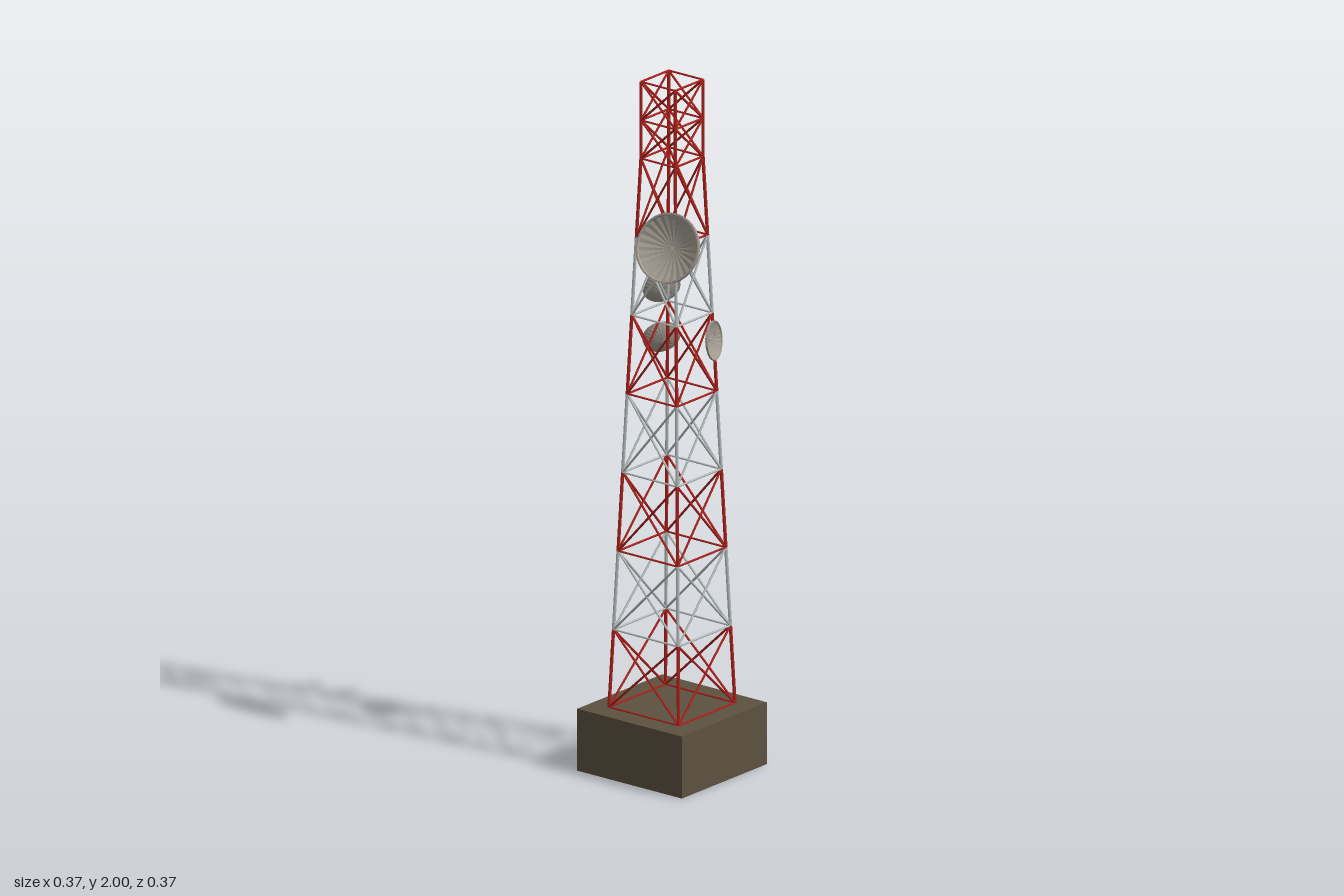
import * as THREE from 'three';

const material = (color, extra = {}) => new THREE.MeshStandardMaterial({ color, ...extra });
const UP = new THREE.Vector3(0, 1, 0);

export function createModel() {
  const tower = new THREE.Group();
  tower.name = 'latticeTower';
  const red = material(0xb0221c), white = material(0xb8c0c0), concrete = material(0x5c5240);
  const dishGrey = material(0xa39c92, { flatShading: true, side: THREE.DoubleSide });

  const add = (parent, name, geometry, mat) => {
    const mesh = new THREE.Mesh(geometry, mat);
    mesh.name = name;
    parent.add(mesh);
    return mesh;
  };

  // Round bar between two points
  const bar = (parent, name, a, b, radius, mat) => {
    const dir = b.clone().sub(a);
    const mesh = add(parent, name, new THREE.CylinderGeometry(radius, radius, dir.length(), 6), mat);
    mesh.position.copy(a).add(b).multiplyScalar(0.5);
    mesh.quaternion.setFromUnitVectors(UP, dir.normalize());
  };

  // Foundation block
  add(tower, 'foundation', new THREE.BoxGeometry(0.37, 0.18, 0.37), concrete).position.y = 0.09;

  // Tapering mast: straight above the seventh bay
  const levels = [0.182, 0.407, 0.635, 0.863, 1.091, 1.319, 1.546, 1.774, 1.885, 1.997];
  const halfWidth = (y) => 0.123 - 0.0625 * Math.min(1, (y - 0.18) / 1.594);
  const corner = (level, i) => {
    const y = levels[level], h = halfWidth(y);
    return new THREE.Vector3([h, h, -h, -h][i % 4], y, [h, -h, -h, h][i % 4]);
  };

  for (let bay = 0; bay < levels.length - 1; bay++) {
    const section = new THREE.Group();
    section.name = `mastSection${bay + 1}`;
    const mat = bay < 6 && bay % 2 ? white : red;
    for (let i = 0; i < 4; i++) {
      bar(section, 'leg', corner(bay, i), corner(bay + 1, i), 0.005, mat);
      bar(section, 'diagonalBrace', corner(bay, i), corner(bay + 1, i + 1), 0.0033, mat);
      bar(section, 'diagonalBrace', corner(bay, i + 1), corner(bay + 1, i), 0.0033, mat);
      bar(section, 'horizontalBrace', corner(bay, i), corner(bay, i + 1), 0.003, mat);
      if (bay === levels.length - 2)
        bar(section, 'topRail', corner(bay + 1, i), corner(bay + 1, i + 1), 0.003, mat);
    }
    tower.add(section);
  }

  // Pleated dish opening along local +y, with a rolled rim and a small feed
  const dish = (name, r, center, facing, leg) => {
    const group = new THREE.Group();
    group.name = name;
    const depth = r * 0.28, t = r * 0.05, steps = 7, profile = [];
    for (let k = 0; k <= steps; k++) {
      const s = k / steps;
      profile.push(new THREE.Vector2(r * 0.96 * s, depth * (s * s - 1) - t));
    }
    profile.push(new THREE.Vector2(r, -t), new THREE.Vector2(r, t), new THREE.Vector2(r * 0.95, t));
    for (let k = steps; k >= 0; k--) {
      const s = k / steps;
      profile.push(new THREE.Vector2(r * 0.93 * s, depth * (s * s - 1)));
    }
    const shell = new THREE.LatheGeometry(profile, 48);
    const pos = shell.attributes.position;
    for (let i = 0; i < pos.count; i++) {
      const s = Math.hypot(pos.getX(i), pos.getZ(i)) / r;
      const column = Math.floor(i / profile.length);
      if (s > 0.1 && s < 0.94 && column % 2) pos.setY(i, pos.getY(i) - r * 0.025 * s);
    }
    add(group, 'reflector', shell, dishGrey);
    add(group, 'feed', new THREE.BoxGeometry(r * 0.1, r * 0.15, r * 0.06), dishGrey).position.y = -depth + r * 0.07;

    const normal = new THREE.Vector3(...facing).normalize();
    group.position.set(...center);
    group.quaternion.setFromUnitVectors(UP, normal);
    tower.add(group);

    // Short stub from the back of the dish to the nearest leg
    const back = group.position.clone().addScaledVector(normal, -depth);
    const h = halfWidth(back.y);
    bar(tower, 'dishMount', back, new THREE.Vector3(leg[0] * h, back.y, leg[1] * h), 0.003, dishGrey);
  };

  dish('largeDish', 0.098, [-0.114, 1.558, 0.078], [-0.92, 0.37, 0.14], [-1, 1]);
  dish('upperRearDish', 0.053, [0.088, 1.35, -0.109], [0.57, 0.36, -0.74], [1, -1]);
  dish('lowerRearDish', 0.053, [0.088, 1.205, -0.109], [0.57, 0.36, -0.74], [1, -1]);
  dish('frontDish', 0.055, [0.054, 1.25, 0.105], [0.3, 0.12, 0.95], [1, 1]);

  return tower;
}
